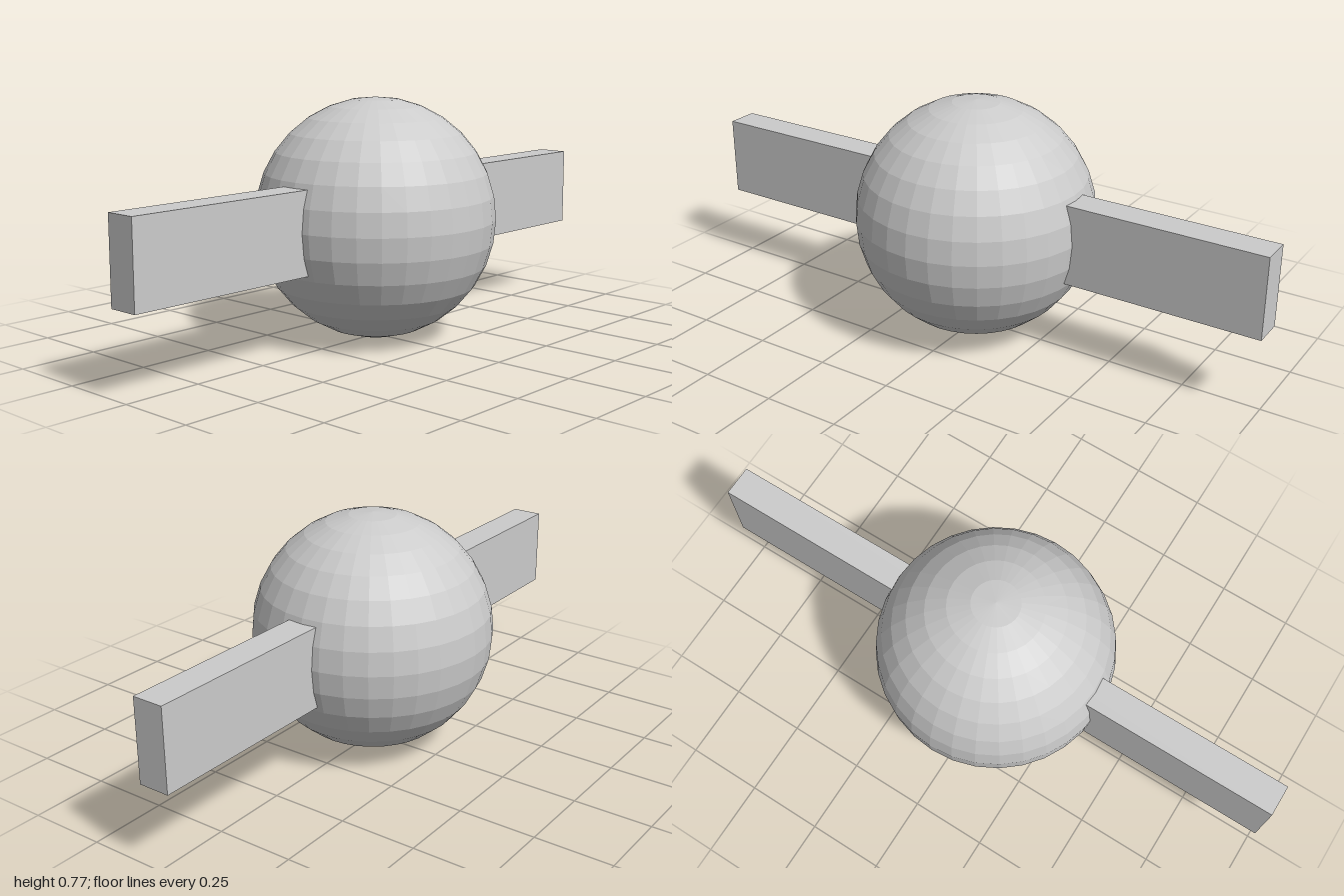
import * as THREE from 'three';

export function createModel() {
  const model = new THREE.Group();
  const material = new THREE.MeshStandardMaterial({ color: 0xcccccc, flatShading: true });
  const centreY = 0.389;

  const addPart = (name, geometry) => {
    const mesh = new THREE.Mesh(geometry, material);
    mesh.name = name;
    mesh.position.y = centreY;
    model.add(mesh);
  };

  // Faceted ball
  addPart('ball', new THREE.SphereGeometry(0.387, 32, 16));

  // Flat bar running front to back through the ball
  addPart('bar', new THREE.BoxGeometry(0.102, 0.263, 2));

  return model;
}
